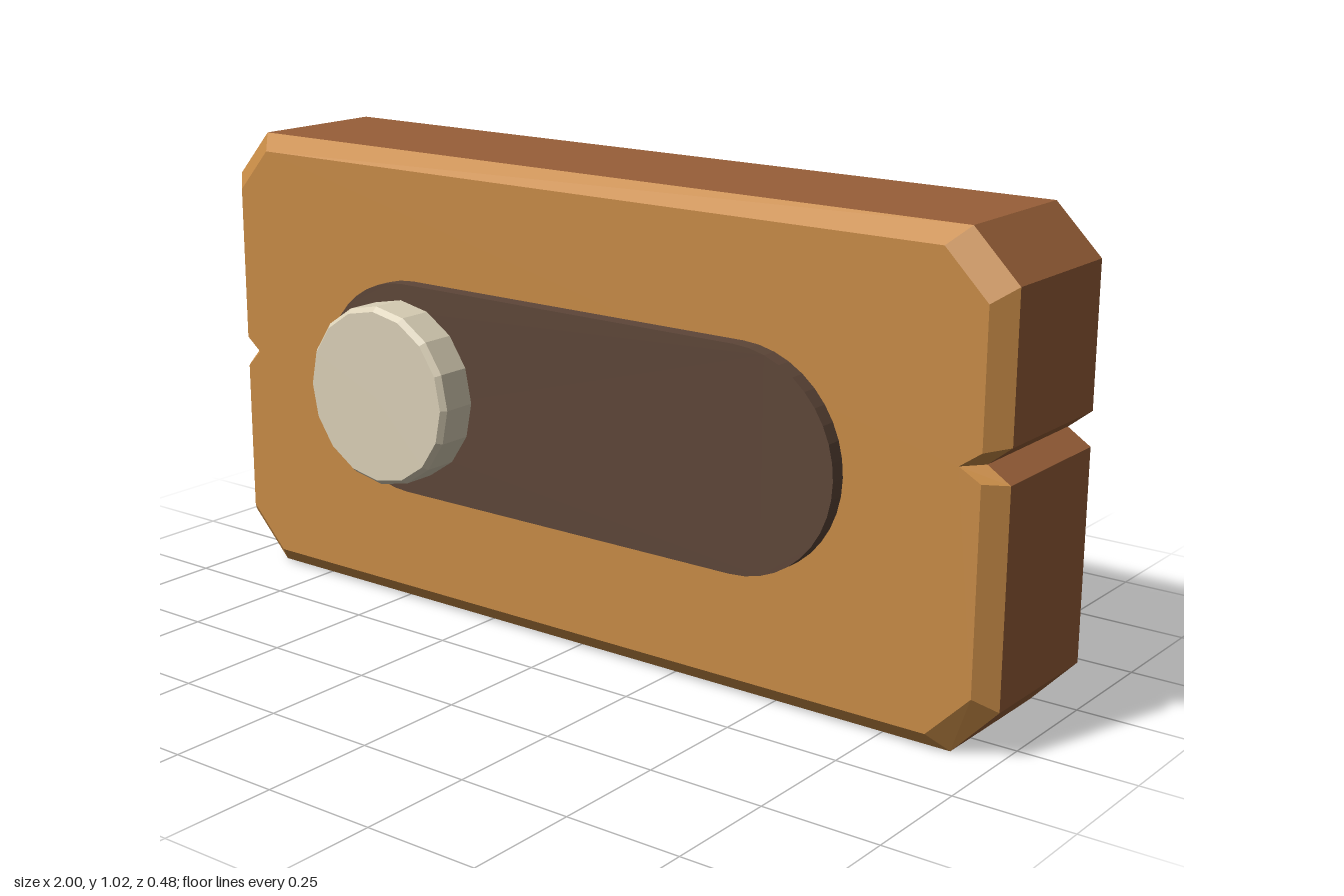
import * as THREE from 'three';

const mat = (name, color) => new THREE.MeshStandardMaterial({ name, color });

export function createModel() {
  const group = new THREE.Group();
  const brown = mat('brown wood', 0x985f38);
  const tan = mat('tan wood', 0xc68a46);
  const dark = mat('dark slot', 0x5d4638);
  const cream = mat('cream knob', 0xd9cfb6);

  const add = (name, geometry, material) => {
    const mesh = new THREE.Mesh(geometry, material);
    mesh.name = name;
    group.add(mesh);
    return mesh;
  };

  // Block outline and its inset front edge, counter-clockwise, with a V notch in each side
  const outer = [
    [-0.9, 0], [0.9, 0], [1, 0.105], [1, 0.55], [0.95, 0.582], [1, 0.622], [1, 0.92],
    [0.9, 1.02], [-0.91, 1.02], [-1, 0.92], [-1, 0.55], [-0.957, 0.513], [-1, 0.465], [-1, 0.105],
  ];
  const inner = [
    [-0.87, 0.04], [0.865, 0.04], [0.96, 0.135], [0.96, 0.555], [0.913, 0.581], [0.96, 0.614], [0.96, 0.89],
    [0.865, 0.985], [-0.875, 0.985], [-0.96, 0.89], [-0.96, 0.543], [-0.922, 0.513], [-0.96, 0.475], [-0.96, 0.135],
  ];
  const toShape = (pts) => new THREE.Shape(pts.map(([x, y]) => new THREE.Vector2(x, y)));

  // Main block
  const block = new THREE.ExtrudeGeometry(toShape(outer), { depth: 0.32, bevelEnabled: false });
  add('block', block.translate(0, 0, -0.24), brown);

  // Sloped rim between the block and the front face
  const rim = [];
  outer.forEach((a, i) => {
    const j = (i + 1) % outer.length;
    const b = outer[j], c = inner[j], d = inner[i];
    rim.push(...a, 0.08, ...b, 0.08, ...c, 0.12, ...a, 0.08, ...c, 0.12, ...d, 0.12);
  });
  const rimGeometry = new THREE.BufferGeometry();
  rimGeometry.setAttribute('position', new THREE.Float32BufferAttribute(rim, 3));
  rimGeometry.computeVertexNormals();
  add('bevelledRim', rimGeometry, tan);
  add('frontFace', new THREE.ShapeGeometry(toShape(inner)).translate(0, 0, 0.12), tan);

  // Raised track with round ends
  const track = new THREE.Shape();
  track.absarc(0.433, 0.511, 0.234, -Math.PI / 2, Math.PI / 2, false);
  track.absarc(-0.433, 0.511, 0.234, Math.PI / 2, Math.PI * 1.5, false);
  const trackGeometry = new THREE.ExtrudeGeometry(track, { depth: 0.035, bevelEnabled: false, curveSegments: 10 });
  add('track', trackGeometry.translate(0, 0, 0.12), dark);

  // Round knob with a small chamfer
  const profile = [[0.198, 0], [0.198, 0.076], [0.188, 0.088], [0, 0.088]];
  const knob = new THREE.LatheGeometry(profile.map(([x, y]) => new THREE.Vector2(x, y)), 16).toNonIndexed();
  knob.computeVertexNormals();
  knob.rotateX(Math.PI / 2).translate(-0.438, 0.511, 0.155);
  add('knob', knob, cream);

  return group;
}
